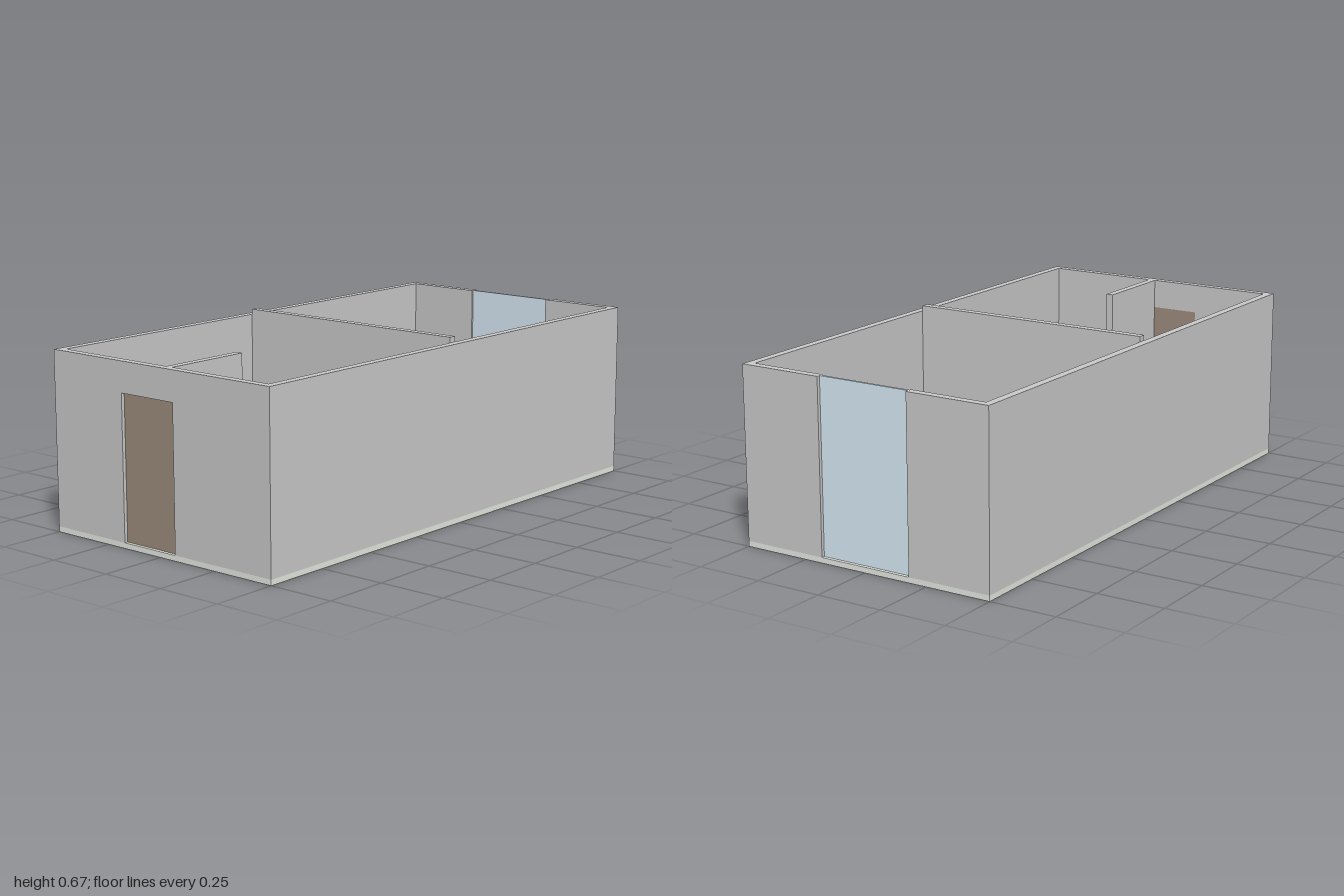
import * as THREE from 'three';

const material = (color) => new THREE.MeshStandardMaterial({ color });

export function createModel() {
  const model = new THREE.Group();
  const wall = material(0xcccccc);
  const floorY = 0.02, top = 0.65, t = 0.03;

  // Box given by its two extremes on each axis
  const block = (name, [x0, x1], [y0, y1], [z0, z1], mat = wall) => {
    const mesh = new THREE.Mesh(new THREE.BoxGeometry(x1 - x0, y1 - y0, z1 - z0), mat);
    mesh.position.set((x0 + x1) / 2, (y0 + y1) / 2, (z0 + z1) / 2);
    mesh.name = name;
    model.add(mesh);
  };
  const height = [floorY, top];

  // Floor slab
  block('floor', [-1, 1], [0, floorY], [-0.5, 0.5], material(0xe8ece4));

  // Long outer walls
  block('frontWall', [-1, 1], height, [0.5 - t, 0.5]);
  block('backWall', [-1, 1], height, [-0.5, -0.5 + t]);

  // End wall split by a full-height window
  block('windowWallFront', [1 - t, 1], height, [0.18, 0.5 - t]);
  block('windowWallBack', [1 - t, 1], height, [-0.5 + t, -0.18]);
  block('windowPane', [0.977, 0.987], height, [-0.18, 0.18], material(0xdaecf8));

  // End wall with a doorway, drawn in (z, y) and turned to face -x
  const doorZ0 = -0.17, doorZ1 = 0.07, doorTop = 0.54, end = 0.5 - t;
  const outline = new THREE.Shape([
    [-end, floorY], [doorZ0, floorY], [doorZ0, doorTop], [doorZ1, doorTop],
    [doorZ1, floorY], [end, floorY], [end, top], [-end, top],
  ].map(([z, y]) => new THREE.Vector2(-z, y)));
  const doorWall = new THREE.Mesh(
    new THREE.ExtrudeGeometry(outline, { depth: t, bevelEnabled: false }), wall);
  doorWall.rotation.y = Math.PI / 2;
  doorWall.position.x = -1;
  doorWall.name = 'doorWall';
  model.add(doorWall);
  block('door', [-0.987, -0.975], [floorY, doorTop], [doorZ0, doorZ1], material(0x9e8c7c));

  // Inner walls
  block('dividingWall', [-0.03, 0], [floorY, 0.67], [-0.47, 0.47]);
  block('shortPartition', [-0.97, -0.635], height, [0.015, 0.043]);

  return model;
}
